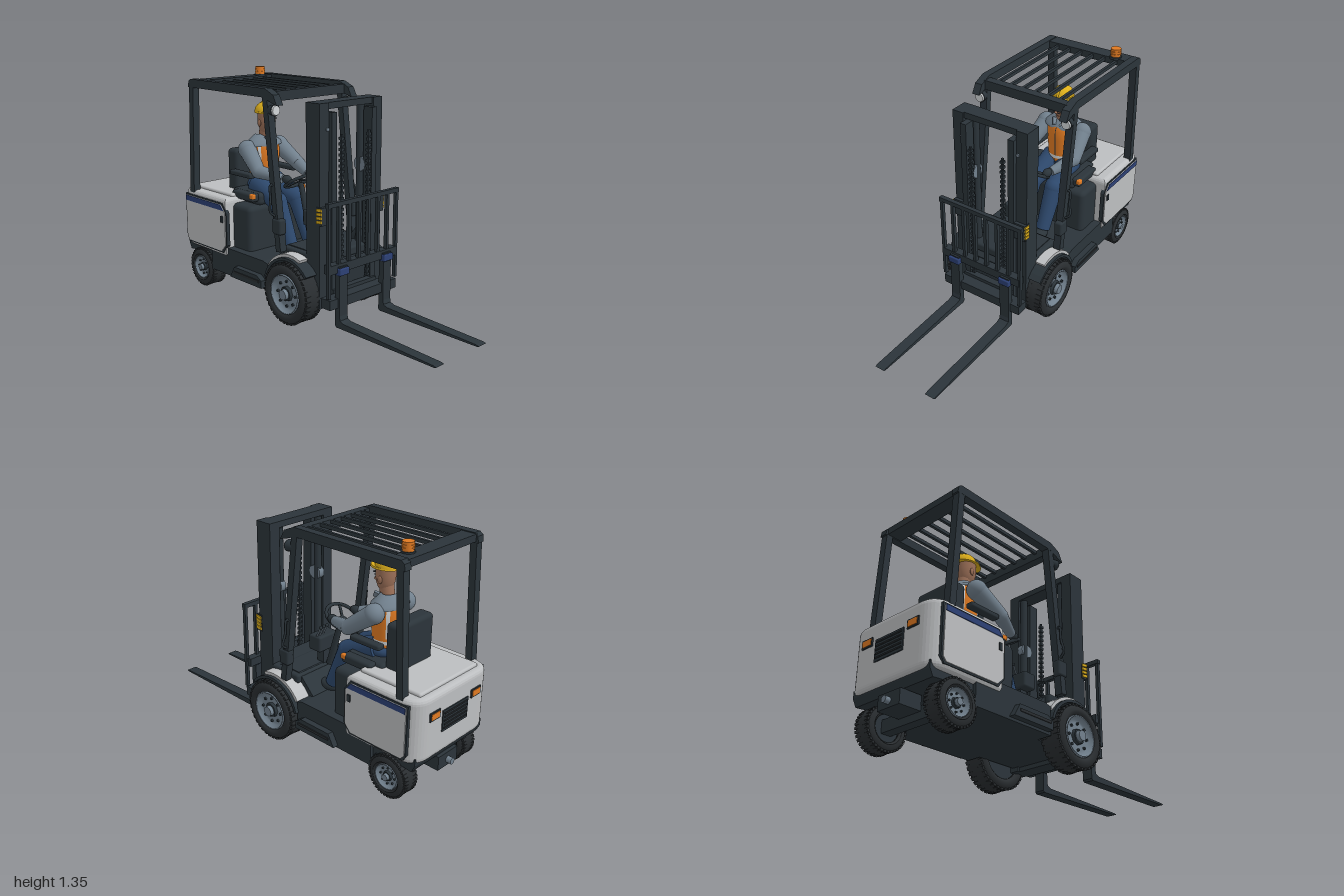
import * as THREE from 'three';
import { RoundedBoxGeometry } from 'three/addons/geometries/RoundedBoxGeometry.js';

export function createModel() {
  const root = new THREE.Group();
  const mat = (name, color) => {
    const m = new THREE.MeshStandardMaterial({ color });
    m.name = name;
    return m;
  };
  const dark = mat('dark frame', 0x2b343a), rubber = mat('rubber', 0x2a2e31), pale = mat('pale grey paint', 0xbcbec0);
  const steel = mat('steel grey', 0x71808d), orange = mat('orange', 0xe07a22), yellow = mat('yellow', 0xdcae1c);
  const skin = mat('skin', 0x9c7058), denim = mat('denim', 0x2d486c), navy = mat('navy blue', 0x2c4075);
  const white = mat('lamp white', 0xd2d6d8);
  const V = (x, y, z) => new THREE.Vector3(x, y, z);
  const V2 = (x, y) => new THREE.Vector2(x, y);

  const add = (name, geo, m, x = 0, y = 0, z = 0, parent = root) => {
    const mesh = new THREE.Mesh(geo, m);
    mesh.name = name;
    mesh.position.set(x, y, z);
    parent.add(mesh);
    return mesh;
  };
  // Box given by its limits; a radius rounds its edges
  const box = (name, m, x0, x1, y0, y1, z0, z1, r = 0) => {
    const s = [x1 - x0, y1 - y0, z1 - z0];
    const geo = r ? new RoundedBoxGeometry(...s, 2, r) : new THREE.BoxGeometry(...s);
    return add(name, geo, m, (x0 + x1) / 2, (y0 + y1) / 2, (z0 + z1) / 2);
  };
  const sideBox = (name, m, s, x0, x1, y0, y1, z0, z1, r = 0) =>
    box(name, m, x0, x1, y0, y1, s > 0 ? z0 : -z1, s > 0 ? z1 : -z0, r);
  // Side profile in x, y, extruded from z0 to z1
  const slab = (name, m, pts, z0, z1) => add(name,
    new THREE.ExtrudeGeometry(new THREE.Shape(pts.map(p => V2(...p))), { depth: z1 - z0, bevelEnabled: false }), m, 0, 0, z0);
  const sideSlab = (name, m, s, pts, z0, z1) => slab(name, m, pts, s > 0 ? z0 : -z1, s > 0 ? z1 : -z0);
  // Bar between two points; square or round, possibly tapered
  const along = (mesh, a, b) => {
    mesh.position.copy(a).lerp(b, 0.5);
    mesh.quaternion.setFromUnitVectors(V(0, 1, 0), b.clone().sub(a).normalize());
    return mesh;
  };
  const beam = (name, m, a, b, w, d) => along(add(name, new THREE.BoxGeometry(w, a.distanceTo(b), d), m), a, b);
  const rod = (name, m, a, b, r0, r1 = r0) => along(add(name, new THREE.CylinderGeometry(r1, r0, a.distanceTo(b), 18), m), a, b);
  const ball = (name, m, p, r, sx = 1, sy = 1, sz = 1) => {
    const b = add(name, new THREE.SphereGeometry(r, 24, 16), m, p.x, p.y, p.z);
    b.scale.set(sx, sy, sz);
    return b;
  };

  // Wheels: tyre, tread blocks, dished rim, hub and bolts
  const wheel = (name, x, y, s, z, R, w, rimR) => {
    const g = new THREE.Group();
    g.name = name;
    g.position.set(x, y, s * z);
    g.rotation.x = s * Math.PI / 2;
    root.add(g);
    const h = w / 2;
    const tyre = [[rimR, -h * 0.8], [rimR + 0.012, -h * 0.95], [R - 0.04, -h], [R - 0.018, -h * 0.92], [R - 0.006, -h * 0.7], [R - 0.003, 0],
      [R - 0.006, h * 0.7], [R - 0.018, h * 0.92], [R - 0.04, h], [rimR + 0.012, h * 0.95], [rimR, h * 0.8]];
    add('tyre', new THREE.LatheGeometry(tyre.map(p => V2(...p)), 48), rubber, 0, 0, 0, g);
    for (let i = 0; i < 36; i++) for (const k of [-1, 1]) {
      const a = (i + (k > 0 ? 0.5 : 0)) / 36 * Math.PI * 2;
      const t = add('tread', new THREE.BoxGeometry(0.012, h * 0.8, R * 0.11), rubber, Math.cos(a) * (R - 0.009), k * h * 0.42, -Math.sin(a) * (R - 0.009), g);
      t.rotation.set(0, a, -k * 0.09);
    }
    const rim = [[0, h * 0.55], [rimR * 0.4, h * 0.55], [rimR * 0.65, h * 0.6], [rimR * 0.85, h * 0.5], [rimR * 0.93, h * 0.9], [rimR, h * 0.9], [rimR + 0.002, h * 0.7]];
    add('rim', new THREE.LatheGeometry(rim.reverse().map(p => V2(...p)), 40), steel, 0, 0, 0, g);
    add('rimBack', new THREE.CylinderGeometry(rimR, rimR, h, 32), dark, 0, -h * 0.2, 0, g);
    add('hubRing', new THREE.CylinderGeometry(rimR * 0.36, rimR * 0.4, h * 0.3, 8), dark, 0, h * 0.65, 0, g);
    add('hub', new THREE.CylinderGeometry(rimR * 0.25, rimR * 0.28, h * 0.6, 16), steel, 0, h * 0.8, 0, g);
    for (let i = 0; i < 8; i++) {
      const a = i * Math.PI / 4;
      add('bolt', new THREE.CylinderGeometry(rimR * 0.07, rimR * 0.07, 0.012, 8), dark, Math.cos(a) * rimR * 0.63, h * 0.64, Math.sin(a) * rimR * 0.63, g);
    }
  };

  // Chassis, cowl and rear axle
  slab('chassis', dark, [[-0.7, 0.14], [-0.16, 0.14], [-0.16, 0.3], [-0.2, 0.31], [-0.7, 0.31]], -0.3, 0.3);
  slab('cowl', dark, [[-0.2, 0.14], [0.18, 0.14], [0.2, 0.33], [0.15, 0.39], [0.06, 0.42], [-0.08, 0.42], [-0.14, 0.36], [-0.2, 0.3]], -0.21, 0.21);
  box('cowlTop', dark, -0.1, 0.19, 0.36, 0.415, -0.24, 0.24, 0.015);
  box('dashBox', dark, -0.11, -0.02, 0.5, 0.595, -0.075, 0.075, 0.012);
  box('dashStem', dark, -0.09, -0.04, 0.41, 0.51, -0.025, 0.025);
  box('rearAxle', dark, -0.84, -0.78, 0.09, 0.16, -0.22, 0.22);
  slab('rearSkirt', dark, [[-0.95, 0.21], [-0.9, 0.215], [-0.72, 0.215], [-0.66, 0.14], [-0.56, 0.14], [-0.56, 0.29], [-0.97, 0.29], [-0.97, 0.25]], -0.28, 0.28);
  rod('towPin', steel, V(-1, 0.165, 0), V(-0.92, 0.165, 0), 0.018);
  box('towBlock', dark, -0.97, -0.84, 0.13, 0.21, -0.08, 0.08);

  // Counterweight: rounded plan with bevelled top and bottom
  const plan = new THREE.Shape();
  plan.moveTo(-0.56, -0.285).lineTo(-0.88, -0.285).quadraticCurveTo(-0.965, -0.285, -0.965, -0.2)
    .lineTo(-0.965, 0.2).quadraticCurveTo(-0.965, 0.285, -0.88, 0.285).lineTo(-0.56, 0.285).closePath();
  const cw = new THREE.ExtrudeGeometry(plan, { depth: 0.3, bevelThickness: 0.03, bevelSize: 0.025, bevelSegments: 4, curveSegments: 10 });
  add('counterweight', cw.rotateX(-Math.PI / 2), pale, 0, 0.285, 0);
  box('hoodLid', pale, -0.95, -0.56, 0.605, 0.632, -0.24, 0.24, 0.012);
  box('rearGrille', dark, -0.996, -0.985, 0.385, 0.505, -0.105, 0.105);
  for (let i = 0; i < 5; i++) box('grilleSlat', rubber, -1, -0.994, 0.4 + i * 0.021, 0.408 + i * 0.021, -0.095, 0.095);

  // Seat base and seat
  box('seatBase', dark, -0.6, -0.38, 0.28, 0.58, -0.25, 0.25, 0.03);
  box('seatCushion', dark, -0.65, -0.39, 0.575, 0.65, -0.17, 0.17, 0.025);
  box('seatBack', dark, -0.73, -0.635, 0.6, 0.88, -0.14, 0.14, 0.025);

  // Steering column, wheel and levers
  rod('steeringColumn', dark, V(-0.12, 0.42, 0), V(-0.205, 0.725, 0), 0.022, 0.015);
  const steer = new THREE.Group();
  steer.name = 'steeringWheel';
  steer.position.set(-0.21, 0.735, 0);
  steer.quaternion.setFromUnitVectors(V(0, 0, 1), V(-0.51, 0.86, 0).normalize());
  root.add(steer);
  add('wheelRing', new THREE.TorusGeometry(0.095, 0.01, 10, 36), dark, 0, 0, 0, steer);
  for (let i = 0; i < 3; i++) {
    const spoke = add('spoke', new THREE.BoxGeometry(0.095, 0.014, 0.008).translate(0.047, 0, 0), dark, 0, 0, 0, steer);
    spoke.rotation.z = i * Math.PI * 2 / 3;
  }
  for (const z of [-0.015, -0.04, -0.065]) {
    rod('lever', steel, V(-0.07, 0.58, z), V(-0.105, 0.65, z), 0.005);
    ball('leverKnob', dark, V(-0.108, 0.656, z), 0.01);
  }

  // Roof of the guard, with slats and beacon
  for (const z of [-0.2, -0.12, -0.04, 0.04, 0.12, 0.2]) box('roofSlat', dark, -0.82, -0.12, 1.27, 1.29, z - 0.008, z + 0.008);
  box('roofRearBeam', dark, -0.86, -0.77, 1.26, 1.3, -0.27, 0.27);
  box('roofFrontBeam', dark, -0.16, -0.11, 1.235, 1.29, -0.27, 0.27);
  for (const [r, y, h, m] of [[0.036, 1.301, 0.014, dark], [0.029, 1.328, 0.044, orange], [0.032, 1.322, 0.008, orange], [0.032, 1.337, 0.008, orange], [0.03, 1.351, 0.008, orange]])
    add('beacon', new THREE.CylinderGeometry(r, r, h, 24), m, -0.79, y, -0.185);

  // Mast cross members and load carriage
  box('mastTop', dark, 0.105, 0.2, 1.215, 1.25, -0.24, 0.24);
  box('mastFoot', dark, 0.12, 0.22, 0.115, 0.14, -0.2, 0.2);
  box('innerFoot', dark, 0.21, 0.25, 0.17, 0.22, -0.17, 0.17);
  box('carriageUpper', dark, 0.27, 0.318, 0.345, 0.395, -0.265, 0.265);
  box('carriageLower', dark, 0.245, 0.318, 0.145, 0.2, -0.265, 0.265);
  box('backrestTop', dark, 0.292, 0.318, 0.715, 0.74, -0.277, 0.277);
  for (let i = 0; i < 8; i++) {
    const z = -0.265 + i * 0.53 / 7;
    box('backrestBar', dark, 0.295, 0.316, i % 7 ? 0.36 : 0.21, 0.73, z - 0.009, z + 0.009);
  }

  // Everything that is mirrored left and right
  for (const s of [1, -1]) {
    wheel('frontWheel', 0.03, 0.18, s, 0.277, 0.18, 0.145, 0.115);
    wheel('rearWheel', -0.81, 0.124, s, 0.25, 0.124, 0.12, 0.072);

    // Fender arc and step
    const arc = (r, a0, a1) => Array.from({ length: 13 }, (_, i) => {
      const a = (a0 + (a1 - a0) * i / 12) * Math.PI / 180;
      return [0.03 + r * Math.cos(a), 0.18 + r * Math.sin(a)];
    });
    sideSlab('fender', pale, s, [...arc(0.222, 68, 148), ...arc(0.198, 148, 68)], 0.2, 0.3);
    sideSlab('fenderEdge', dark, s, [...arc(0.205, 40, 165), ...arc(0.188, 165, 40)], 0.2, 0.32);
    sideSlab('step', dark, s, [[-0.47, 0.155], [-0.18, 0.155], [-0.18, 0.2], [-0.22, 0.225], [-0.43, 0.225]], 0.29, 0.335);
    sideBox('stepTread', rubber, s, -0.43, -0.2, 0.185, 0.2, 0.333, 0.34);

    // Side panel with outline, stripe and latch
    const panel = k => [[-0.93 - k, 0.58 + k], [-0.57 + k, 0.58 + k], [-0.53 + k, 0.53], [-0.53 + k, 0.33], [-0.57 + k, 0.285 - k], [-0.91 - k, 0.285 - k], [-0.93 - k, 0.31]];
    sideSlab('panelEdge', dark, s, panel(0.008), 0.29, 0.314);
    sideSlab('sidePanel', pale, s, panel(-0.002), 0.313, 0.319);
    sideSlab('panelStripe', navy, s, [[-0.925, 0.545], [-0.545, 0.545], [-0.573, 0.577], [-0.925, 0.577]], 0.318, 0.323);
    sideBox('panelLatch', dark, s, -0.57, -0.55, 0.47, 0.51, 0.318, 0.325);
    sideBox('rearLampFrame', dark, s, -0.997, -0.98, 0.483, 0.53, 0.13, 0.21);
    sideBox('rearLamp', orange, s, -0.9995, -0.996, 0.49, 0.523, 0.138, 0.202);

    // Guard posts, roof rails, headlights and grab handles
    beam('rearPost', dark, V(-0.875, 0.6, s * 0.285), V(-0.845, 1.28, s * 0.285), 0.04, 0.045);
    beam('frontPost', dark, V(-0.055, 0.4, s * 0.285), V(-0.155, 1.27, s * 0.285), 0.04, 0.045);
    sideSlab('roofRail', dark, s, [[-0.875, 1.255], [-0.16, 1.255], [-0.09, 1.23], [-0.05, 1.22], [-0.08, 1.275], [-0.15, 1.305], [-0.85, 1.305], [-0.87, 1.29]], 0.262, 0.308);
    rod('headlightShell', dark, V(-0.14, 1.19, s * 0.285), V(-0.09, 1.19, s * 0.285), 0.022, 0.033);
    rod('headlightLens', white, V(-0.092, 1.19, s * 0.285), V(-0.08, 1.19, s * 0.285), 0.029, 0.026);
    sideBox('postBracket', dark, s, -0.1, -0.03, 0.5, 0.59, 0.265, 0.315, 0.012);
    const grip = new THREE.CatmullRomCurve3([V(-0.08, 0.6, s * 0.3), V(-0.085, 0.63, s * 0.335), V(-0.095, 0.7, s * 0.325), V(-0.1, 0.78, s * 0.32), V(-0.1, 0.77, s * 0.295)]);
    add('grabHandle', new THREE.TubeGeometry(grip, 20, 0.007, 8), dark);

    // Mast rails, lift cylinders, chain pulleys, tilt cylinders and hazard marks
    sideBox('outerRail', dark, s, 0.105, 0.21, 0.115, 1.25, 0.17, 0.24);
    sideBox('innerRail', dark, s, 0.17, 0.235, 0.15, 1.2, 0.135, 0.172);
    rod('liftCylinder', dark, V(0.13, 0.14, s * 0.15), V(0.13, 1.21, s * 0.15), 0.022);
    rod('chainPulley', steel, V(0.14, 0.87, s * 0.134), V(0.14, 0.87, s * 0.168), 0.042);
    rod('tiltCylinder', dark, V(0.0, 0.34, s * 0.16), V(0.14, 0.5, s * 0.16), 0.022);
    rod('railBolt', steel, V(0.2, 1.11, s * 0.183), V(0.216, 1.11, s * 0.183), 0.01);
    sideBox('hazardPlate', dark, s, 0.188, 0.23, 0.595, 0.695, 0.165, 0.243);
    for (let i = 0; i < 4; i++) {
      const y = 0.603 + i * 0.022;
      sideSlab('hazardStripe', yellow, s, [[0.19, y], [0.23, y + 0.006], [0.23, y + 0.022], [0.19, y + 0.016]], 0.242, 0.248);
    }
    for (let i = 0; i < 56; i++) {
      const w = i % 2 ? 0.006 : 0.011;
      sideBox('chainLink', dark, s, 0.238 - w, 0.238 + w, 0.24 + i * 0.015, 0.255 + i * 0.015, 0.105 - w, 0.105 + w);
    }

    // Fork and its hook
    sideSlab('fork', dark, s, [[0.295, 0.38], [0.295, 0.04], [0.305, 0.03], [0.99, 0.03], [1, 0.035], [0.98, 0.04], [0.36, 0.064], [0.335, 0.075], [0.33, 0.1], [0.33, 0.38]], 0.144, 0.206);
    sideBox('forkHook', navy, s, 0.28, 0.342, 0.333, 0.373, 0.138, 0.212, 0.006);

    // Armrest, belt buckle
    sideBox('armrest', dark, s, -0.64, -0.44, 0.735, 0.765, 0.145, 0.195, 0.01);
    sideBox('seatWing', dark, s, -0.6, -0.4, 0.6, 0.65, 0.15, 0.21, 0.015);
    sideBox('beltBuckle', orange, s, -0.43, -0.395, 0.62, 0.65, 0.185, 0.213, 0.008);

    // Driver's arms and legs
    const shoulder = V(-0.545, 0.893, s * 0.125), elbow = V(-0.4, 0.785, s * 0.16), wrist = V(-0.25, 0.755, s * 0.1);
    ball('shoulder', steel, shoulder, 0.056);
    rod('upperArm', steel, shoulder, elbow, 0.054, 0.042);
    ball('elbow', steel, elbow, 0.042);
    rod('forearm', steel, elbow, wrist, 0.042, 0.027);
    ball('glove', dark, V(-0.225, 0.755, s * 0.09), 0.028, 1.2, 0.9, 0.9);
    const hip = V(-0.53, 0.675, s * 0.055), knee = V(-0.325, 0.6, s * 0.075), ankle = V(-0.215, 0.36, s * 0.075);
    rod('thigh', denim, hip, knee, 0.075, 0.056);
    ball('knee', denim, knee, 0.056);
    rod('shin', denim, knee, ankle, 0.055, 0.042);
    ball('shoe', dark, V(-0.185, 0.335, s * 0.075), 0.04, 1.7, 0.8, 0.95);

    // Eyes, brows, ears and shirt collar
    ball('eye', white, V(-0.459, 1.058, s * 0.021), 0.009, 0.5, 0.6, 1);
    ball('pupil', dark, V(-0.455, 1.058, s * 0.021), 0.005, 0.5, 1, 1);
    sideBox('eyebrow', dark, s, -0.461, -0.452, 1.073, 1.078, 0.01, 0.034);
    ball('ear', skin, V(-0.515, 1.05, s * 0.053), 0.02, 0.7, 1.1, 0.4);
    beam('collar', steel, V(-0.485, 0.97, s * 0.034), V(-0.462, 0.935, s * 0.018), 0.012, 0.03);
  }

  // Driver's torso: vest, reflective strips, shirt
  const vest = [[0.088, 0.66], [0.09, 0.75], [0.096, 0.84], [0.096, 0.9], [0.085, 0.925]];
  const wrap = (name, m, pts, grow, a0 = 0, a1 = 360) => add(name, new THREE.LatheGeometry(pts.map(p => V2(p[0] + grow, p[1])), 40, a0 * Math.PI / 180, (a1 - a0) * Math.PI / 180), m, -0.543, 0, 0);
  wrap('vest', orange, vest, 0);
  for (const a of [30, 138, 210, 318]) wrap('vestStrip', white, vest.slice(1), 0.002, a, a + 12);
  wrap('vestBand', white, [[0.0895, 0.715], [0.09, 0.735]], 0.003);
  wrap('vestZip', dark, vest, 0.003, 88.5, 91.5);
  wrap('shirt', steel, [[0.088, 0.912], [0.084, 0.93], [0.062, 0.952], [0.046, 0.972], [0.036, 0.978]], 0).scale.z = 1.4;
  ball('hips', denim, V(-0.54, 0.67, 0), 0.09, 1.05, 0.6, 1.25);

  // Head with a hard hat
  rod('neck', skin, V(-0.53, 0.94, 0), V(-0.515, 1.02, 0), 0.038, 0.04);
  const skull = [[0.001, 0.978], [0.025, 0.981], [0.04, 1.0], [0.05, 1.03], [0.055, 1.07], [0.054, 1.115]];
  add('head', new THREE.LatheGeometry(skull.map(p => V2(...p)), 32), skin, -0.51, 0, 0);
  const nose = add('nose', new THREE.ConeGeometry(0.012, 0.038, 8), skin, -0.449, 1.043, 0);
  nose.rotation.z = 0.25;
  box('mouth', dark, -0.47, -0.462, 1.013, 1.016, -0.016, 0.016);
  const dome = add('hardHat', new THREE.SphereGeometry(0.063, 32, 12, 0, Math.PI * 2, 0, Math.PI / 2), yellow, -0.52, 1.11, 0);
  dome.scale.x = 1.1;
  const brim = add('hatBrim', new THREE.CylinderGeometry(0.066, 0.069, 0.01, 32), yellow, -0.506, 1.113, 0);
  brim.scale.x = 1.24;
  const ridge = add('hatRidge', new THREE.TorusGeometry(0.06, 0.008, 8, 24, Math.PI), yellow, -0.52, 1.11, 0);
  ridge.scale.x = 1.1;
  return root;
}
